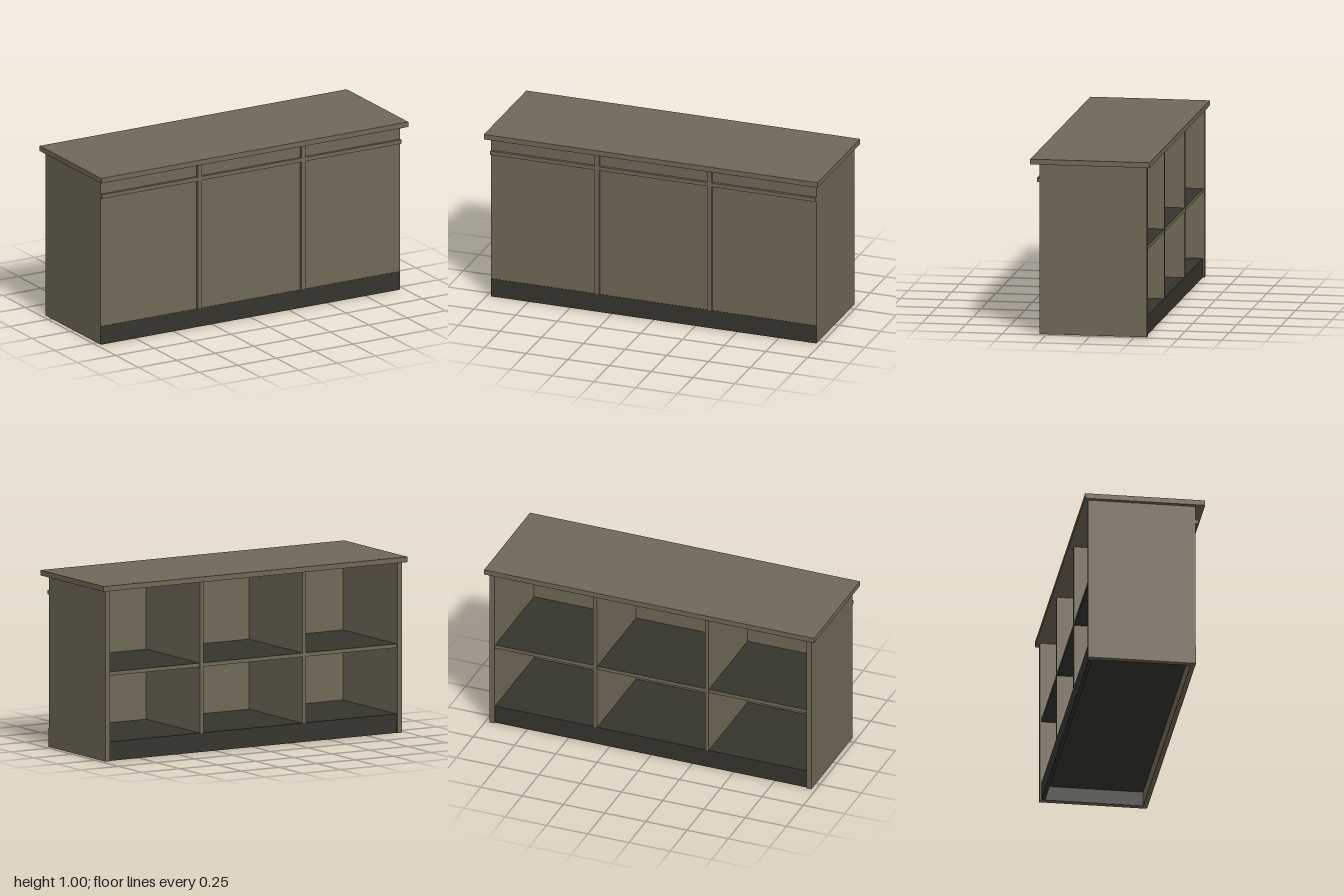
import * as THREE from 'three';

const wood = new THREE.MeshStandardMaterial({ color: 0x706856 });
wood.name = 'taupe wood';
const dark = new THREE.MeshStandardMaterial({ color: 0x35342d });
dark.name = 'dark laminate';

// Box given by its extents on each axis
function board(name, [x0, x1], [y0, y1], [z0, z1], material = wood) {
  const geometry = new THREE.BoxGeometry(x1 - x0, y1 - y0, z1 - z0);
  const mesh = new THREE.Mesh(geometry, material);
  mesh.name = name;
  mesh.position.set((x0 + x1) / 2, (y0 + y1) / 2, (z0 + z1) / 2);
  return mesh;
}

export function createModel() {
  const counter = new THREE.Group();
  counter.name = 'counter';
  const add = (...args) => counter.add(board(...args));

  const half = 0.975, inner = 0.945, back = -0.32, front = 0.29;
  const under = 0.97, plinth = 0.108, shelfBack = -0.31;

  // Worktop and front panel
  add('worktop', [-1, 1], [under, 1], [-0.34, 0.34]);
  add('frontPanel', [-inner, inner], [0, under], [0.265, front]);

  // Side panels, dividers and front battens, mirrored
  for (const s of [-1, 1]) {
    const span = (a, b) => (s > 0 ? [a, b] : [-b, -a]);
    const side = s > 0 ? 'left' : 'right';
    add(side + 'SidePanel', span(inner, half), [0, under], [back, front]);
    add(side + 'Divider', span(0.326, 0.35), [plinth, under], [shelfBack - 0.002, 0.265]);
    add(side + 'FrontBatten', span(0.324, 0.351), [plinth, under], [front, 0.306]);
    add(side + 'PlinthLining', span(inner - 0.004, inner), [0, 0.09], [shelfBack, 0.265], dark);
  }

  // Horizontal rail across the front
  add('frontRail', [-half, half], [0.866, 0.889], [front, 0.306]);

  // Plinth: thin front kick plate, rear kick board and floor
  add('frontKickPlate', [-half, half], [0, plinth], [front, front + 0.002], dark);
  add('rearKickBoard', [-inner, inner], [0, plinth], [shelfBack, shelfBack + 0.02], dark);
  add('floorBoard', [-inner, inner], [0.085, plinth], [shelfBack + 0.02, 0.265], dark);

  // Middle shelf with dark faces and wooden edges
  add('middleShelf', [-inner, inner], [0.484, 0.506], [shelfBack, 0.265],
    [wood, wood, dark, dark, wood, wood]);

  return counter;
}
